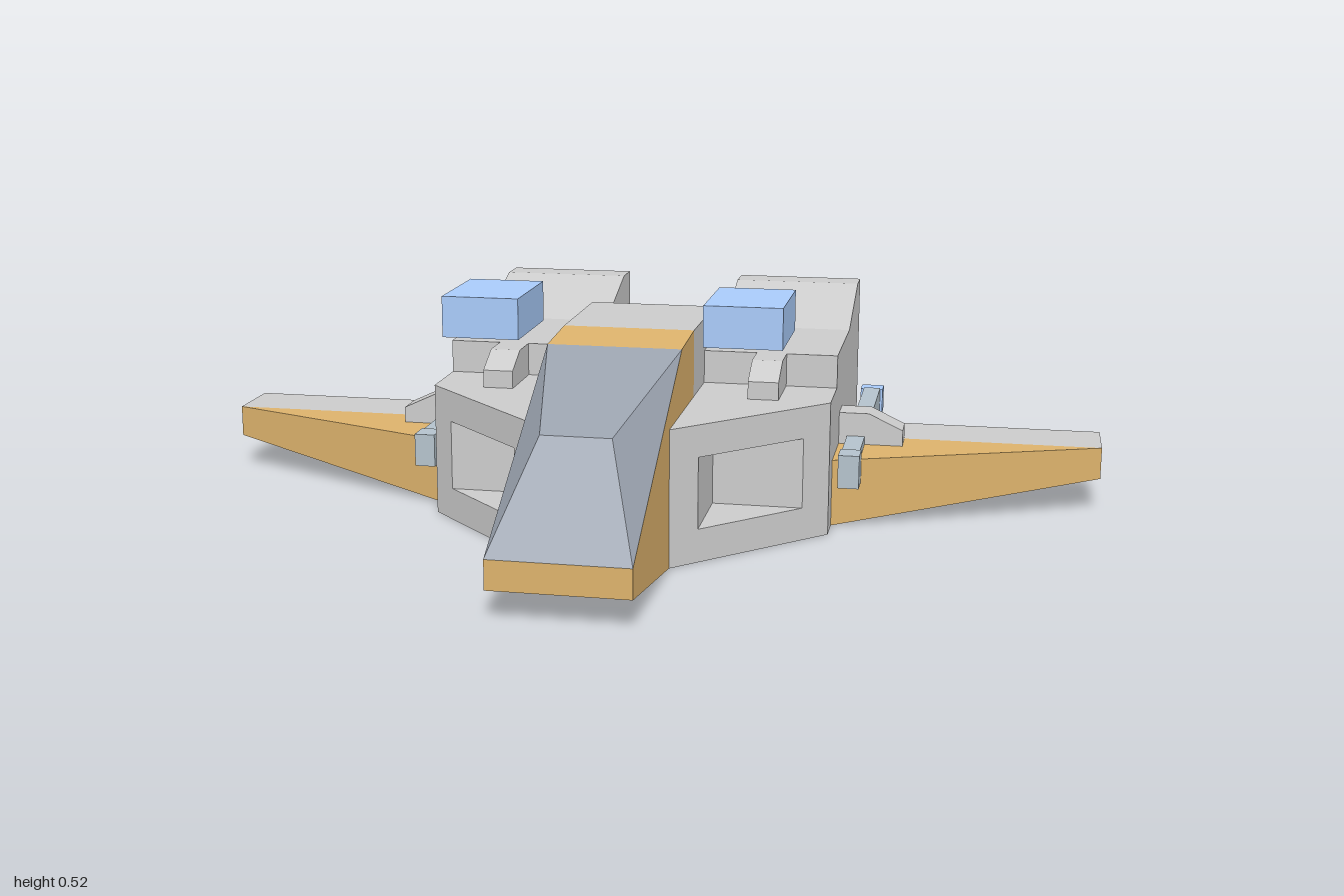
import * as THREE from 'three';
import { ConvexGeometry } from 'three/addons/geometries/ConvexGeometry.js';

const material = (color) => new THREE.MeshStandardMaterial({ color, flatShading: true });

// Extrude a closed outline of [a, b] points by a given depth
function extrude(points, depth) {
  const shape = new THREE.Shape(points.map(([a, b]) => new THREE.Vector2(a, b)));
  return new THREE.ExtrudeGeometry(shape, { depth, bevelEnabled: false });
}

// Side profile of [z, y] points, spanning two x positions
function sideProfile(points, xa, xb) {
  return extrude(points.map(([z, y]) => [-z, y]), Math.abs(xb - xa))
    .rotateY(Math.PI / 2).translate(Math.min(xa, xb), 0, 0);
}

// Floor plan of [x, z] points, spanning two heights
function plan(points, y0, y1) {
  return extrude(points.map(([x, z]) => [x, -z]), y1 - y0)
    .rotateX(-Math.PI / 2).translate(0, y0, 0);
}

// Front outline of [x, y] points, spanning two z positions
function frontOutline(points, z0, z1) {
  return extrude(points, z1 - z0).translate(0, 0, z0);
}

function box(x0, x1, y0, y1, z0, z1) {
  return new THREE.BoxGeometry(Math.abs(x1 - x0), y1 - y0, z1 - z0)
    .translate((x0 + x1) / 2, (y0 + y1) / 2, (z0 + z1) / 2);
}

const hull = (points) => new ConvexGeometry(points.map((p) => new THREE.Vector3(...p)));

export function createModel() {
  const model = new THREE.Group();
  model.name = 'spacecraft';
  const grey = material(0xcccccc);
  const gold = material(0xdcb26c);
  const glass = material(0x9aa2ae);
  const steel = material(0xb4c2cc);
  const blue = material(0xa9cbfa);

  const add = (name, geometry, mat, parent = model) => {
    const mesh = new THREE.Mesh(geometry, mat);
    mesh.name = name;
    parent.add(mesh);
  };

  // Central fuselage: grey rear, gold nose, faceted canopy
  add('rearFuselage', sideProfile(
    [[0.04, 0], [0.04, 0.43], [-0.24, 0.43], [-0.53, 0.29], [-0.53, 0]], -0.14, 0.14), grey);
  add('nose', sideProfile(
    [[0.04, 0], [0.33, 0], [0.70, 0.06], [0.70, 0.12], [0.19, 0.42], [0.04, 0.43]], -0.14, 0.14), gold);
  add('canopy', hull([-1, 1].flatMap((s) => [
    [s * 0.14, 0.42, 0.19], [s * 0.07, 0.32, 0.545], [s * 0.14, 0.12, 0.70]])), glass);

  for (const s of [1, -1]) {
    const side = new THREE.Group();
    side.name = s > 0 ? 'leftSide' : 'rightSide';
    model.add(side);

    // Engine pod: slanted front, with the intake cut into the middle layer
    const solid = [[0.14, 0.33], [0.43, 0.04], [0.43, -0.39], [0.14, -0.39]];
    const notched = [[0.14, 0.33], [0.19, 0.28], [0.19, 0.09], [0.38, 0.09], ...solid.slice(1)];
    const mirror = (points) => points.map(([a, b]) => [s * a, b]);
    add('podFloor', plan(mirror(solid), 0, 0.07), grey, side);
    add('podIntake', plan(mirror(notched), 0.07, 0.22), grey, side);
    add('podRoof', plan(mirror(solid), 0.22, 0.287), grey, side);

    // Raised deck with its bevelled tongue
    add('podDeck', box(s * 0.14, s * 0.43, 0.287, 0.358, -0.39, -0.10), grey, side);
    add('deckTongue', sideProfile(
      [[-0.10, 0.287], [0.04, 0.287], [0.04, 0.325], [-0.025, 0.358], [-0.10, 0.358]],
      s * 0.255, s * 0.32), grey, side);

    // Exhaust section: solid cheeks and a notched centre slab
    const tail = [[-0.39, 0.07], [-0.39, 0.358], [-0.60, 0.43], [-0.67, 0.43]];
    const nozzle = [[-0.67, 0.36], [-0.55, 0.36], [-0.55, 0.14], [-0.67, 0.14]];
    const end = [-0.67, 0.07];
    add('exhaustInnerWall', sideProfile([...tail, end], s * 0.14, s * 0.22), grey, side);
    add('exhaustNozzle', sideProfile([...tail, ...nozzle, end], s * 0.22, s * 0.35), grey, side);
    add('exhaustOuterWall', sideProfile([...tail, end], s * 0.35, s * 0.43), grey, side);

    // Wing: grey rear panel and gold leading wedge
    const edge = (x, y0, z) => [[s * x, y0, z], [s * x, 0.145, z]];
    add('wingPanel', hull([...edge(0.43, 0, -0.245), ...edge(0.43, 0, -0.39),
      ...edge(1, 0.075, -0.245), ...edge(1, 0.075, -0.39)]), grey, side);
    add('wingLeadingEdge', hull([...edge(0.43, 0, -0.027), ...edge(0.43, 0, -0.245),
      ...edge(1, 0.075, -0.245)]), gold, side);

    // Cannon on its wing mount
    add('cannonMount', frontOutline(mirror(
      [[0.42, 0.145], [0.57, 0.145], [0.57, 0.18], [0.495, 0.215], [0.42, 0.215]]),
      -0.245, -0.175), grey, side);
    add('cannonBarrel', box(s * 0.448, s * 0.487, 0.096, 0.163, -0.66, -0.05), steel, side);
    add('cannonMuzzle', box(s * 0.445, s * 0.49, 0.093, 0.165, -0.05, 0.005), steel, side);
    add('cannonTail', box(s * 0.44, s * 0.493, 0.1, 0.16, -0.705, -0.657), blue, side);

    // Floating block above the pod
    add('hoverBlock', box(s * 0.19, s * 0.35, 0.435, 0.52, 0.02, 0.235), blue, side);
  }
  return model;
}
